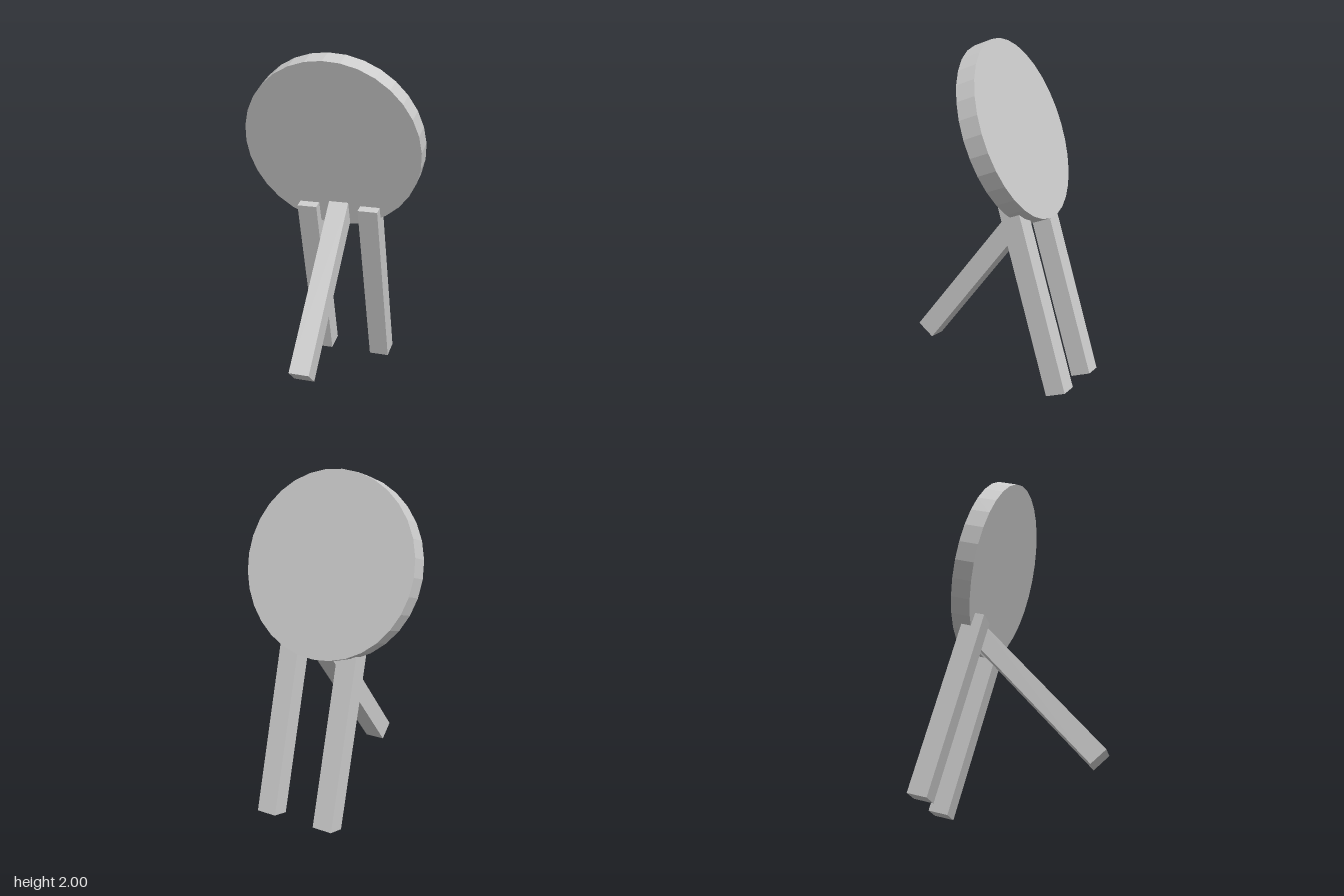
import * as THREE from 'three';

export function createModel() {
  const model = new THREE.Group();
  const material = new THREE.MeshStandardMaterial({ color: 0xcccccc, flatShading: true });

  // Adds a part tilted about the x axis
  function addPart(name, geometry, x, y, z, tiltDegrees) {
    const mesh = new THREE.Mesh(geometry, material);
    mesh.name = name;
    mesh.position.set(x, y, z);
    mesh.rotation.x = THREE.MathUtils.degToRad(tiltDegrees);
    model.add(mesh);
  }

  // Tipped-up round seat
  addPart('seat', new THREE.CylinderGeometry(0.54, 0.54, 0.116, 32), 0, 1.47, -0.101, -72.25);

  // Three square legs: one splayed forward, two splayed back
  const leg = new THREE.BoxGeometry(0.122, 1.097, 0.118);
  addPart('frontLeg', leg, 0.006, 0.643, 0.134, -40);
  addPart('rightBackLeg', leg, -0.181, 0.546, -0.321, 16);
  addPart('leftBackLeg', leg, 0.203, 0.546, -0.321, 16);

  return model;
}
